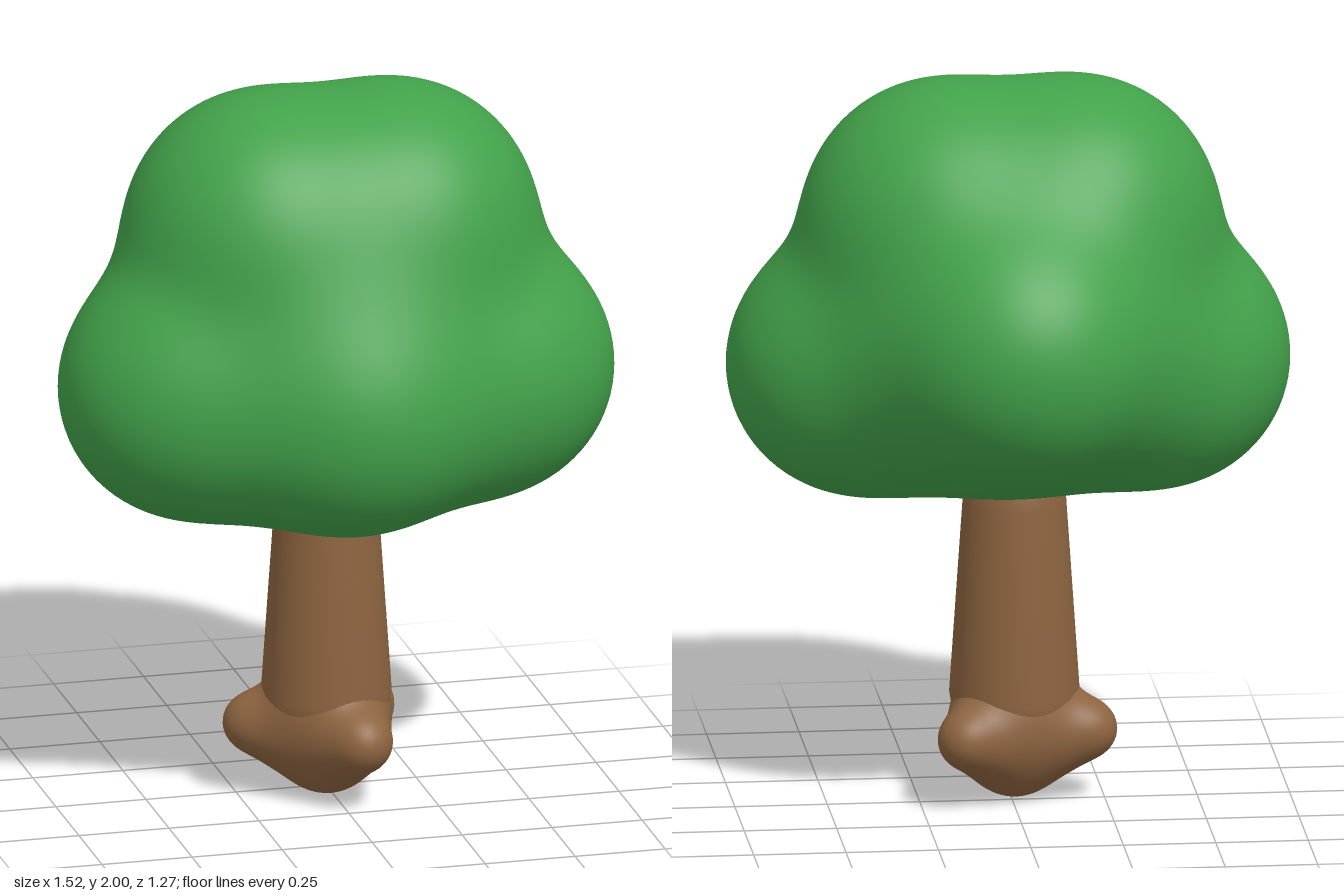
import * as THREE from 'three';
import { mergeVertices } from 'three/addons/utils/BufferGeometryUtils.js';

// Smooth surface around softly blended spheres [x, y, z, radius], seen from a centre inside them
function blobGeometry(spheres, centre, blend, detail) {
  let geo = new THREE.IcosahedronGeometry(1, detail);
  geo.deleteAttribute('normal');
  geo.deleteAttribute('uv');
  geo = mergeVertices(geo, 1e-5);
  const pos = geo.attributes.position;
  const dir = new THREE.Vector3();
  const p = new THREE.Vector3();
  const inside = (q) => {
    let sum = 0;
    for (const [x, y, z, r] of spheres) {
      sum += Math.exp((r - Math.hypot(q.x - x, q.y - y, q.z - z)) / blend);
    }
    return sum > 1;
  };
  for (let i = 0; i < pos.count; i++) {
    dir.fromBufferAttribute(pos, i).normalize();
    let near = 0, far = 1.2;
    for (let n = 0; n < 26; n++) {
      const mid = (near + far) / 2;
      p.copy(centre).addScaledVector(dir, mid);
      if (inside(p)) near = mid; else far = mid;
    }
    p.copy(centre).addScaledVector(dir, near);
    pos.setXYZ(i, p.x, p.y, p.z);
  }
  return geo;
}

// Sphere halfway between two others, used to fill the hollow between them
const between = (a, b, r) => [(a[0] + b[0]) / 2, (a[1] + b[1]) / 2, (a[2] + b[2]) / 2, r];

export function createModel() {
  const group = new THREE.Group();
  group.name = 'tree';
  const leafGreen = new THREE.MeshStandardMaterial({ color: 0x42a24a });
  leafGreen.name = 'leafGreen';
  const barkBrown = new THREE.MeshStandardMaterial({ color: 0x8d6440 });
  barkBrown.name = 'barkBrown';

  const add = (name, geo, material) => {
    geo.computeVertexNormals();
    const mesh = new THREE.Mesh(geo, material);
    mesh.name = name;
    group.add(mesh);
    return mesh;
  };

  // Foliage: front and back lobes, mirrored top and side lobes, and fills between neighbours
  const front = [0, 1.17, 0.28, 0.342];
  const back = [0, 1.33, -0.28, 0.35];
  const lobes = [front, back, between(front, back, 0.345), [0, 1.32, 0.05, 0.36]];
  for (const s of [-1, 1]) {
    const top = [s * 0.18, 1.61, 0.05, 0.38];
    const side = [s * 0.41, 1.2, 0.11, 0.35];
    lobes.push(
      top,
      side,
      between(front, side, 0.285),
      between(side, back, 0.3),
      between(front, top, 0.29),
      between(back, top, 0.25),
    );
  }
  add('foliage', blobGeometry(lobes, new THREE.Vector3(0, 1.33, 0.05), 0.06, 30), leafGreen);

  // Trunk: tapered, rounded off inside the root flare
  const profile = [[0, 0.1], [0.11, 0.14], [0.16, 0.2], [0.176, 0.29], [0.14, 0.82], [0.128, 1.0], [0, 1.02]]
    .map(([r, y]) => new THREE.Vector2(r, y));
  const trunk = add('trunk', new THREE.LatheGeometry(profile, 48), barkBrown);
  trunk.position.set(-0.011, 0, 0.047);

  // Root flare: a rounded foot with three knobs set 120 degrees apart
  const core = [0, 0.22, 0, 0.155];
  const roots = [core, [0, 0.12, 0, 0.113], [0, 0.3, 0, 0.13]];
  for (let i = 0; i < 3; i++) {
    const a = -Math.PI / 4 + (i * Math.PI * 2) / 3;
    const knob = [Math.cos(a) * 0.205, 0.195, Math.sin(a) * 0.205, 0.071];
    roots.push(knob, between([0, 0.17, 0], knob, 0.1));
  }
  const flare = add('rootFlare', blobGeometry(roots, new THREE.Vector3(0, 0.19, 0), 0.03, 20), barkBrown);
  flare.position.copy(trunk.position);

  return group;
}
